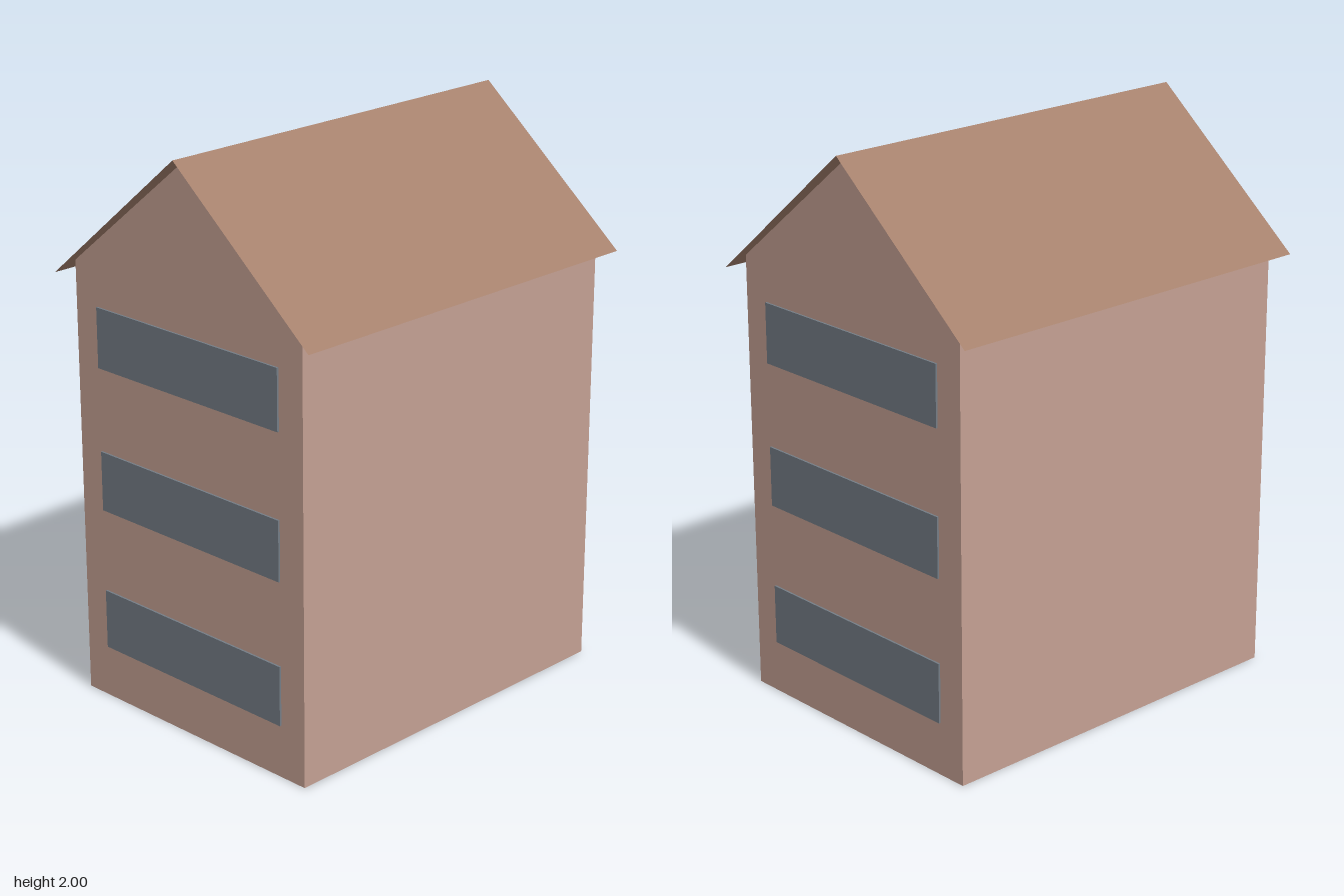
import * as THREE from 'three';

const mat = (name, color, extra = {}) => {
  const m = new THREE.MeshStandardMaterial({ color, ...extra });
  m.name = name;
  return m;
};

export function createModel() {
  const house = new THREE.Group();
  house.name = 'house';
  const wallMat = mat('dusty pink wall', 0xc4a093);
  const roofMat = mat('brown roof', 0xa5816d, { side: THREE.DoubleSide });
  const glassMat = mat('slate window', 0x747d86);

  const add = (name, geometry, material) => {
    const mesh = new THREE.Mesh(geometry, material);
    mesh.name = name;
    house.add(mesh);
    return mesh;
  };

  // Walls: gabled outline drawn through the full depth
  const halfWidth = 0.527, halfDepth = 0.703;
  const outline = new THREE.Shape([
    [-halfWidth, 0], [halfWidth, 0], [halfWidth, 1.557], [0, 1.984], [-halfWidth, 1.557],
  ].map(([x, y]) => new THREE.Vector2(x, y)));
  const body = new THREE.ExtrudeGeometry(outline, { depth: 2 * halfDepth, bevelEnabled: false });
  body.translate(0, 0, -halfDepth);
  add('walls', body, wallMat);

  // Roof: two thin sheets meeting at the ridge and overhanging all round
  const eaveX = 0.59, eaveY = 1.508, ridgeY = 2, roofDepth = 1.48;
  const slopeLength = Math.hypot(eaveX, ridgeY - eaveY);
  const pitch = Math.atan2(ridgeY - eaveY, eaveX);
  for (const side of [-1, 1]) {
    const sheet = new THREE.PlaneGeometry(slopeLength, roofDepth);
    sheet.rotateX(-Math.PI / 2);
    sheet.rotateZ(-side * pitch);
    sheet.translate(side * eaveX / 2, (eaveY + ridgeY) / 2, 0);
    add(side > 0 ? 'leftRoof' : 'rightRoof', sheet, roofMat);
  }

  // Window bands: three storeys on the front and the back
  for (const side of [-1, 1]) {
    for (const y of [0.294, 0.803, 1.312]) {
      const band = add(side > 0 ? 'frontWindow' : 'backWindow',
        new THREE.BoxGeometry(0.844, 0.212, 0.007), glassMat);
      band.position.set(0, y, side * (halfDepth + 0.0035));
    }
  }
  return house;
}
